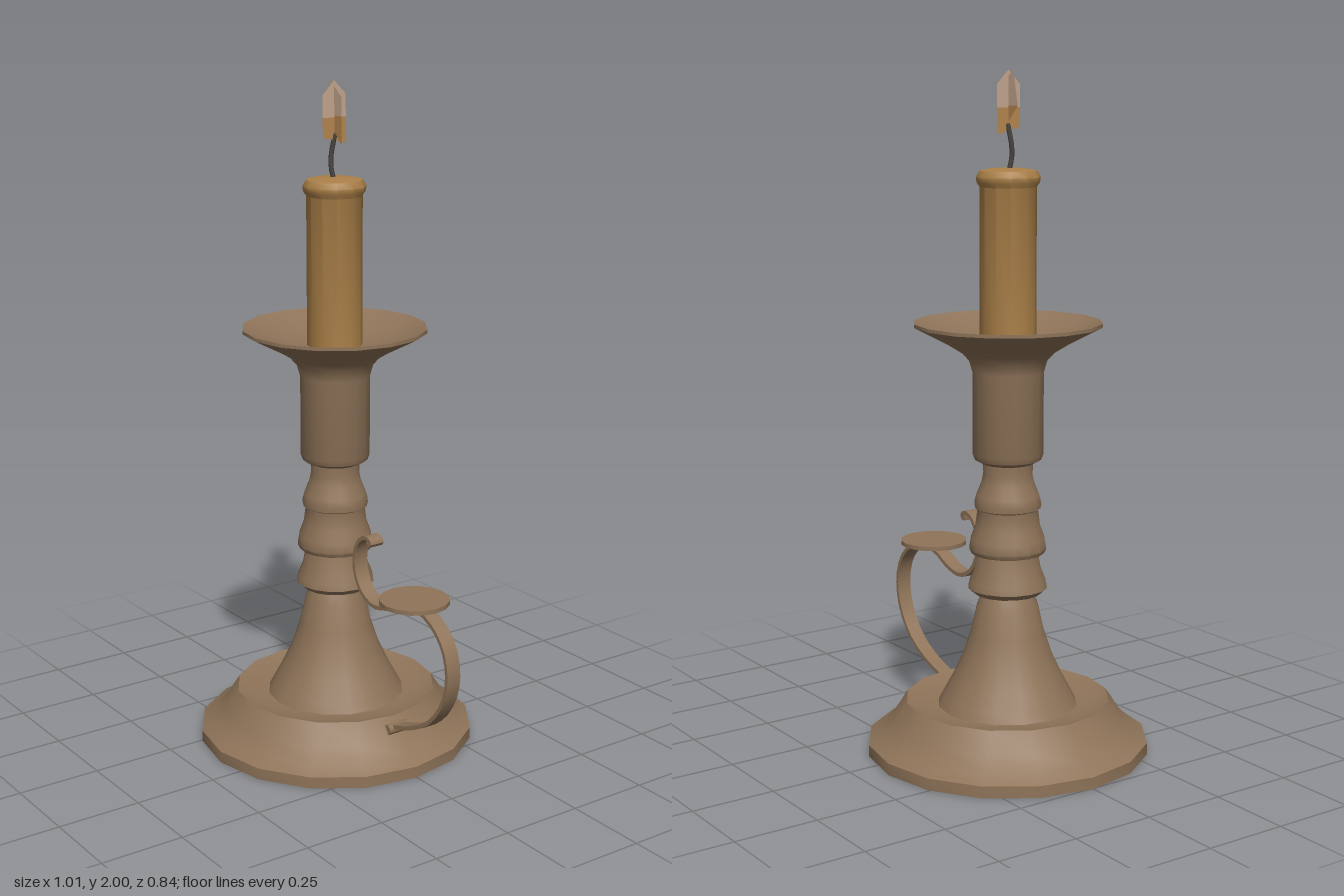
import * as THREE from 'three';
import { toCreasedNormals } from 'three/addons/utils/BufferGeometryUtils.js';

const AXIS = -0.085; // x of the candlestick's centre line

const material = (name, color, side = THREE.FrontSide) => {
  const m = new THREE.MeshStandardMaterial({ color, side });
  m.name = name;
  return m;
};

export function createModel() {
  const group = new THREE.Group();
  const brass = material('aged brass', 0x8f7459);
  const wax = material('wax', 0xab8048);
  const char = material('wick grey', 0x4a4642);
  const glow = material('flame glow', 0xc4a68e, THREE.DoubleSide);
  const ember = material('flame orange', 0xb5854f, THREE.DoubleSide);

  const add = (name, geometry, mat, x = 0, y = 0, z = 0) => {
    const mesh = new THREE.Mesh(geometry, mat);
    mesh.name = name;
    mesh.position.set(x, y, z);
    group.add(mesh);
    return mesh;
  };
  const turned = (name, profile, sides, mat) => {
    const points = profile.map(([r, y]) => new THREE.Vector2(r, y));
    return add(name, toCreasedNormals(new THREE.LatheGeometry(points, sides), 0.7), mat, AXIS);
  };

  // Base with a shallow dish inside its rim
  turned('base', [
    [0, 0], [0.42, 0], [0.42, 0.035], [0.385, 0.055], [0.345, 0.095],
    [0.305, 0.157], [0.26, 0.143], [0.2, 0.138], [0, 0.138],
  ], 16, brass);

  // Flared stem and its three knobs
  turned('stem', [
    [0.21, 0.136], [0.195, 0.165], [0.165, 0.22], [0.135, 0.285], [0.11, 0.36],
    [0.092, 0.44], [0.075, 0.48], [0.1, 0.48], [0.118, 0.497], [0.114, 0.515],
    [0.1, 0.55], [0.091, 0.6], [0.108, 0.602], [0.115, 0.615], [0.11, 0.645],
    [0.097, 0.68], [0.09, 0.733], [0.097, 0.737], [0.1, 0.75], [0.093, 0.775],
    [0.079, 0.81], [0.073, 0.84], [0.076, 0.88],
  ], 16, brass);

  // Candle socket opening into the drip pan
  turned('socketAndDripPan', [
    [0, 0.87], [0.075, 0.87], [0.098, 0.882], [0.105, 0.9], [0.105, 1.14],
    [0.115, 1.175], [0.135, 1.197], [0.18, 1.225], [0.275, 1.275],
    [0.275, 1.285], [0.2, 1.255], [0.13, 1.238], [0.075, 1.23], [0, 1.23],
  ], 16, brass);

  // Candle with a softened lip
  turned('candle', [
    [0.082, 1.2], [0.082, 1.672], [0.091, 1.685], [0.093, 1.7],
    [0.083, 1.718], [0.05, 1.724], [0, 1.726],
  ], 12, wax);

  // Wick
  const wickPath = new THREE.CatmullRomCurve3([
    [AXIS, 1.71, 0], [AXIS - 0.004, 1.755, 0.009], [AXIS - 0.007, 1.79, 0.006], [AXIS - 0.001, 1.845, -0.002],
  ].map((p) => new THREE.Vector3(...p)));
  add('wick', new THREE.TubeGeometry(wickPath, 8, 0.007, 6), char);
  add('wickTip', new THREE.SphereGeometry(0.007, 6, 4), char, AXIS - 0.001, 1.845, -0.002);

  // Flame: two crossing sheets, each with an orange lower part
  const sheet = (name, corners, mat, turn) => {
    const shape = new THREE.Shape(corners.map(([x, y]) => new THREE.Vector2(x, y)));
    add(name, new THREE.ShapeGeometry(shape), mat, AXIS).rotation.y = turn;
  };
  sheet('flameFront', [[-0.045, 1.9], [0.035, 1.9], [0.035, 1.955], [-0.023, 2]], glow, 0);
  sheet('flameFrontBase', [[-0.045, 1.9], [0.035, 1.82], [0.035, 1.9]], ember, 0);
  sheet('flameSide', [[-0.04, 1.895], [0.04, 1.895], [0.04, 1.96], [0, 2], [-0.04, 1.96]], glow, Math.PI / 2);
  sheet('flameSideBase', [[-0.04, 1.84], [0.04, 1.82], [0.04, 1.895], [-0.04, 1.895]], ember, Math.PI / 2);

  // Handle: a thin strap swept along a scrolling curve
  const strap = new THREE.CatmullRomCurve3([
    [0.235, 0.13], [0.325, 0.16], [0.41, 0.208], [0.472, 0.285], [0.495, 0.37],
    [0.478, 0.45], [0.426, 0.508], [0.352, 0.537], [0.272, 0.527], [0.209, 0.497],
    [0.14, 0.483], [0.082, 0.508], [0.048, 0.56], [0.044, 0.614], [0.061, 0.658],
    [0.093, 0.683], [0.12, 0.68], [0.124, 0.668], [0.108, 0.666],
  ].map(([x, y]) => new THREE.Vector3(x, y, 0)));
  const outer = [], inner = [];
  const steps = 44, half = 0.006, width = 0.046;
  for (let i = 0; i <= steps; i++) {
    const p = strap.getPoint(i / steps), t = strap.getTangent(i / steps);
    outer.push(new THREE.Vector2(p.x - t.y * half, p.y + t.x * half));
    inner.unshift(new THREE.Vector2(p.x + t.y * half, p.y - t.x * half));
  }
  const strapGeometry = new THREE.ExtrudeGeometry(new THREE.Shape([...outer, ...inner]), {
    depth: width, bevelEnabled: false,
  });
  add('handle', toCreasedNormals(strapGeometry, 0.7), brass, 0, 0, -width / 2);

  // Rolled foot fixing the handle to the base
  const foot = add('handleFoot', new THREE.CylinderGeometry(0.016, 0.016, 0.076, 8), brass, 0.237, 0.125, 0);
  foot.rotation.x = Math.PI / 2;

  // Thumb rest
  add('thumbRest', new THREE.CylinderGeometry(0.103, 0.103, 0.013, 16), brass, 0.313, 0.55, 0);

  return group;
}
